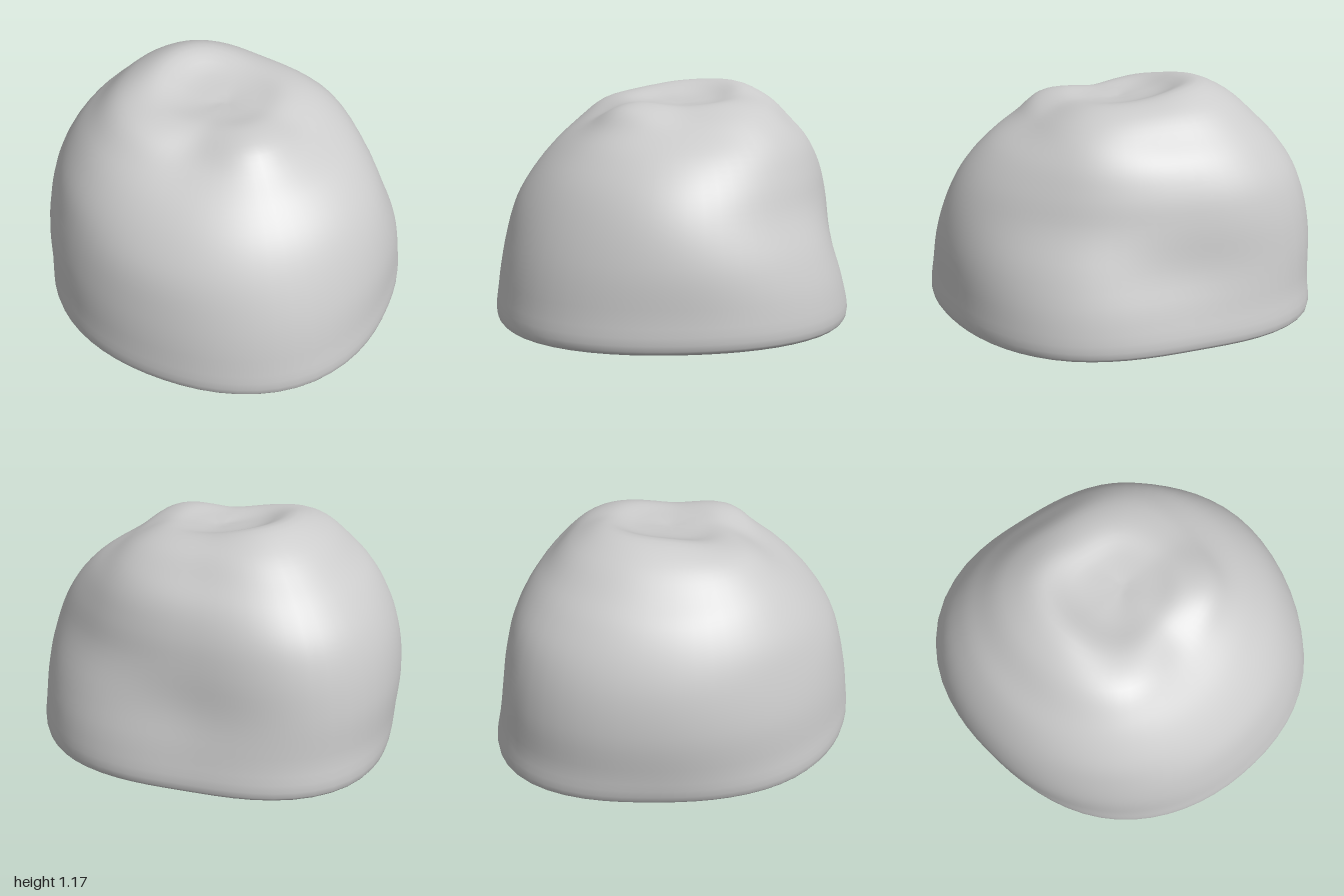
import * as THREE from 'three';
import { mergeVertices } from 'three/addons/utils/BufferGeometryUtils.js';

// Heights of the flank rings, and radius of the cap rings relative to the rim
const FLANK_Y = [0.04, 0.2, 0.4, 0.6, 0.75, 0.88, 0.98];
const CAP_R = [0.8, 0.55, 0.3];
const CENTRE_Y = 1.072;

// Eight profiles, 45 degrees apart from +x towards +z: flank radii, cap heights
const PROFILES = [
  { r: [0.92, 0.91, 0.85, 0.76, 0.71, 0.65, 0.57], y: [1.06, 1.10, 1.085] },
  { r: [0.92, 0.92, 0.905, 0.85, 0.77, 0.65, 0.49], y: [1.035, 1.08, 1.08] },
  { r: [1.00, 0.985, 0.94, 0.86, 0.77, 0.65, 0.53], y: [1.07, 1.10, 1.085] },
  { r: [0.93, 0.925, 0.895, 0.84, 0.75, 0.63, 0.49], y: [1.03, 1.08, 1.083] },
  { r: [0.92, 0.92, 0.91, 0.87, 0.82, 0.74, 0.65], y: [1.08, 1.11, 1.085] },
  { r: [0.89, 0.915, 0.93, 0.905, 0.85, 0.77, 0.67], y: [1.10, 1.16, 1.10] },
  { r: [1.00, 0.99, 0.98, 0.945, 0.89, 0.80, 0.705], y: [1.10, 1.17, 1.105] },
  { r: [0.855, 0.83, 0.775, 0.745, 0.71, 0.65, 0.56], y: [1.08, 1.12, 1.09] },
];

// Smooth periodic interpolation between the eight profiles
function around(key, k, u) {
  const i = Math.floor(u), t = u - i;
  const [a, b, c, d] = [-1, 0, 1, 2].map((o) => PROFILES[(i + o + 8) % 8][key][k]);
  return b + 0.5 * t * (c - a + t * (2 * a - 5 * b + 4 * c - d + t * (3 * (b - c) + d - a)));
}

function rockGeometry(columns = 64, rows = 56) {
  const pos = [], index = [];
  for (let i = 0; i < columns; i++) {
    const u = (i / columns) * 8, a = (i / columns) * Math.PI * 2;
    const point = (r, y) => new THREE.Vector3(r * Math.cos(a), y, r * Math.sin(a));
    const base = around('r', 0, u), rim = around('r', 6, u);
    // Underside, rounded foot, flank, then dished top
    const curve = new THREE.CatmullRomCurve3([
      point(0, 0), point(base * 0.8, 0.002), point(base * 0.95, 0.012),
      ...FLANK_Y.map((y, k) => point(around('r', k, u), y)),
      ...CAP_R.map((f, k) => point(rim * f, around('y', k, u))),
      point(0, CENTRE_Y),
    ]);
    for (const p of curve.getPoints(rows)) pos.push(p.x, Math.max(p.y, 0), p.z);
  }
  // Skin between neighbouring columns, with single triangles at both poles
  const n = rows + 1;
  for (let i = 0; i < columns; i++) {
    for (let j = 0; j < rows; j++) {
      const p = i * n + j, q = ((i + 1) % columns) * n + j;
      if (j < rows - 1) index.push(p, p + 1, q + 1);
      if (j > 0) index.push(p, q + 1, q);
    }
  }
  const geometry = new THREE.BufferGeometry();
  geometry.setAttribute('position', new THREE.Float32BufferAttribute(pos, 3));
  geometry.setIndex(index);
  const merged = mergeVertices(geometry, 1e-5);
  merged.computeVertexNormals();
  return merged;
}

export function createModel() {
  const group = new THREE.Group();
  group.name = 'boulder';
  const rock = new THREE.Mesh(rockGeometry(), new THREE.MeshStandardMaterial({ color: 0xcccccc }));
  rock.name = 'rock';
  group.add(rock);
  return group;
}
